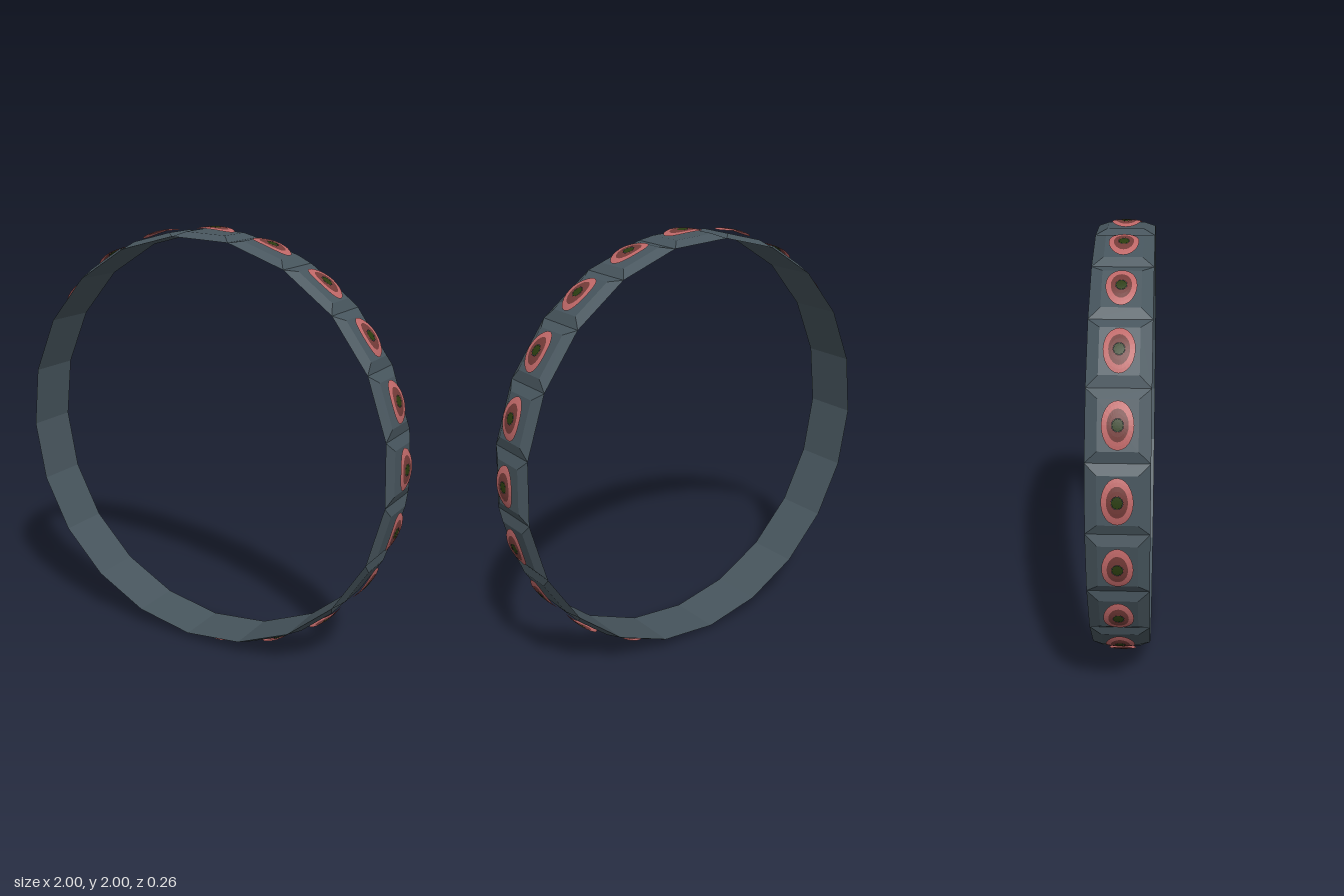
import * as THREE from 'three';

const COUNT = 21;
const STEP = (Math.PI * 2) / COUNT;
const CORNER_R = 0.965;
const FLAT_R = CORNER_R * Math.cos(STEP / 2);
const LENGTH = 2 * CORNER_R * Math.sin(STEP / 2);
const WIDTH = 0.256;

const mat = (name, color, side = THREE.FrontSide) => {
  const m = new THREE.MeshStandardMaterial({ color, side, flatShading: true });
  m.name = name;
  return m;
};

// Flat plate with a bevelled rim: a box whose outer face is drawn in
function plateGeometry() {
  const h = 0.022;
  const g = new THREE.BoxGeometry(LENGTH, h, WIDTH);
  g.translate(0, h / 2, 0);
  const p = g.attributes.position;
  for (let i = 0; i < p.count; i++) {
    if (p.getY(i) > h / 2) {
      p.setX(i, Math.sign(p.getX(i)) * 0.1);
      p.setZ(i, Math.sign(p.getZ(i)) * 0.08);
    }
  }
  g.computeVertexNormals();
  return g;
}

// Thin oval ring between two ellipses, bowed along the band
function ovalRing(inner, outer, sides) {
  const g = new THREE.RingGeometry(1, 2, sides, 2);
  const p = g.attributes.position;
  for (let i = 0; i < p.count; i++) {
    const x = p.getX(i), y = p.getY(i);
    const r = Math.hypot(x, y), k = r - 1;
    const t = (x / r) * THREE.MathUtils.lerp(inner[0], outer[0], k);
    const z = (-y / r) * THREE.MathUtils.lerp(inner[1], outer[1], k);
    const lift = 0.046 - 0.017 * (t / 0.095) ** 2 - 0.005 * (z / 0.063) ** 2;
    p.setXYZ(i, t, lift, z);
  }
  g.computeVertexNormals();
  return g;
}

export function createModel() {
  const slate = mat('slate', 0x47555d);
  const pink = mat('pink', 0xbe6767, THREE.DoubleSide);
  const brown = mat('redBrown', 0x733b38, THREE.DoubleSide);
  const green = mat('darkGreen', 0x2a3c10, THREE.DoubleSide);

  const rim = [0.095, 0.063], mid = [0.064, 0.042], core = [0.026, 0.023];
  const parts = [
    ['plate', plateGeometry(), slate],
    ['outerOval', ovalRing(mid, rim, 24), pink],
    ['middleOval', ovalRing(core, mid, 24), brown],
    ['centreOval', ovalRing([0, 0], core, 8), green],
  ];

  // Repeat the segment around the ring
  const ring = new THREE.Group();
  ring.name = 'ring';
  const start = THREE.MathUtils.degToRad(-2.17);
  for (let i = 0; i < COUNT; i++) {
    const segment = new THREE.Group();
    segment.name = 'segment' + (i + 1);
    const a = start - i * STEP;
    segment.rotation.z = a;
    segment.position.set(-Math.sin(a) * FLAT_R, 1 + Math.cos(a) * FLAT_R, 0);
    for (const [name, geometry, material] of parts) {
      const mesh = new THREE.Mesh(geometry, material);
      mesh.name = name;
      segment.add(mesh);
    }
    ring.add(segment);
  }
  return ring;
}
